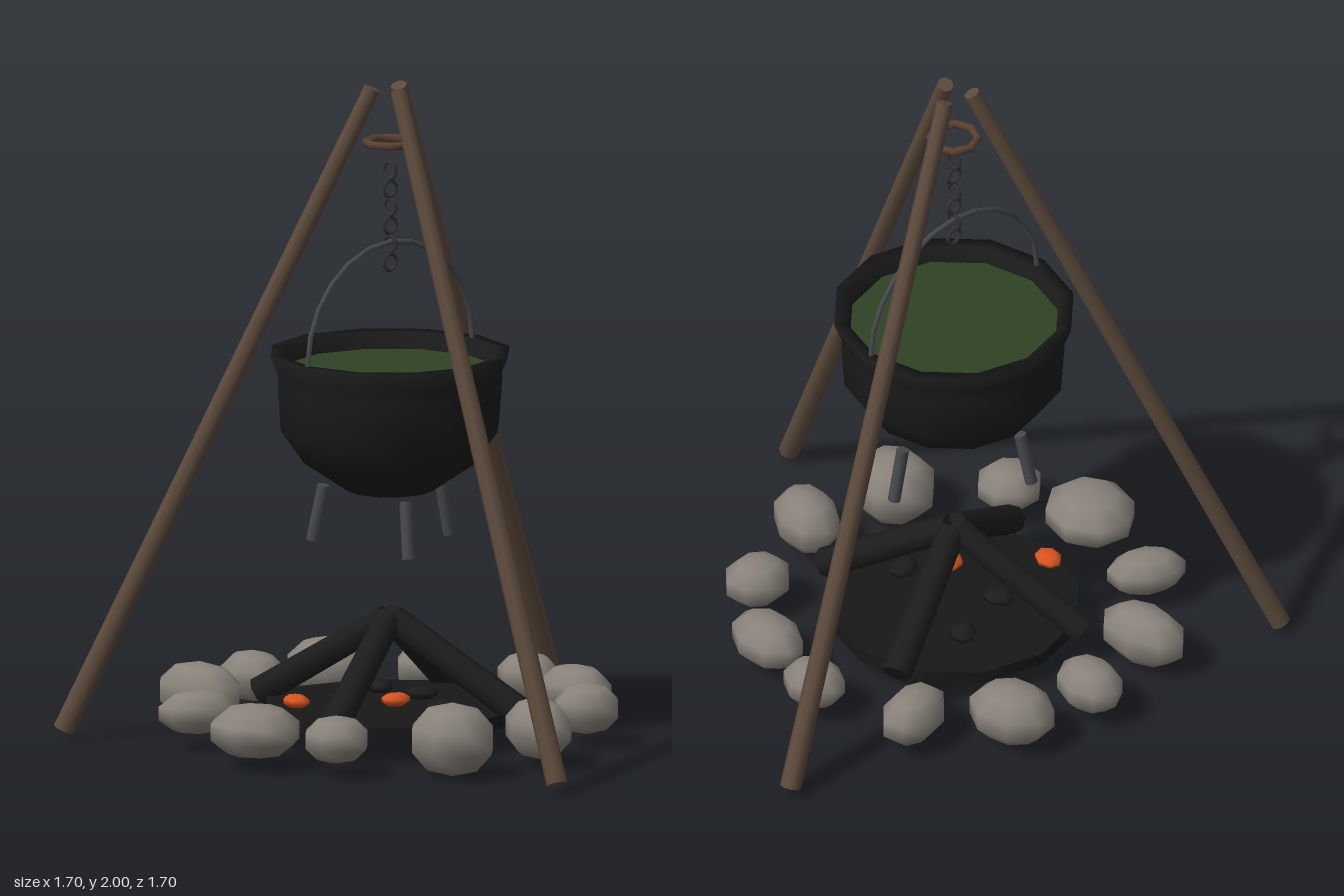
import * as THREE from 'three';

const CX = -0.11, CZ = -0.14; // axis of the fire and the pot

const mat = (name, color, extra = {}) => new THREE.MeshStandardMaterial({ name, color, ...extra });

export function createModel() {
  const wood = mat('wood', 0x5c4a3c);
  const ringWood = mat('ringBrown', 0x5a4033);
  const iron = mat('castIron', 0x1b1b1c, { side: THREE.DoubleSide });
  const steel = mat('steel', 0x48494d);
  const chainIron = mat('chainIron', 0x333334);
  const stew = mat('stew', 0x2e4323);
  const charred = mat('charredWood', 0x1c1c1c);
  const ash = mat('ash', 0x181818);
  const ember = mat('ember', 0xd9541e);
  const rock = mat('rock', 0x88827a);

  const model = new THREE.Group();
  model.name = 'campfireCauldron';

  const add = (parent, name, geometry, material, x = 0, y = 0, z = 0) => {
    const mesh = new THREE.Mesh(geometry, material);
    mesh.name = name;
    mesh.position.set(x, y, z);
    parent.add(mesh);
    return mesh;
  };
  const group = (name, x = 0, y = 0, z = 0) => {
    const g = new THREE.Group();
    g.name = name;
    g.position.set(x, y, z);
    model.add(g);
    return g;
  };
  // Cylinder from point a to point b
  const rod = (parent, name, a, b, ra, rb, sides, material) => {
    const p = new THREE.Vector3(...a), q = new THREE.Vector3(...b);
    const dir = q.clone().sub(p);
    const mesh = add(parent, name, new THREE.CylinderGeometry(rb, ra, dir.length(), sides), material);
    mesh.position.copy(p).add(q).multiplyScalar(0.5);
    mesh.quaternion.setFromUnitVectors(new THREE.Vector3(0, 1, 0), dir.normalize());
  };

  // Tripod poles: foot x, z and top x, z
  const tripod = group('tripod');
  [
    [-0.82, -0.81, -0.15, -0.175],
    [0.82, -0.43, -0.06, -0.155],
    [-0.325, 0.82, -0.122, -0.09],
  ].forEach(([x, z, tx, tz]) => rod(tripod, 'pole', [x, 0.03, z], [tx, 1.985, tz], 0.032, 0.025, 8, wood));

  // Ring that ties the poles
  add(tripod, 'tieRing', new THREE.TorusGeometry(0.072, 0.013, 6, 8).rotateX(Math.PI / 2), ringWood, CX, 1.82, CZ);

  // Chain with links turned a quarter each
  const chain = group('chain', CX, 0, CZ);
  for (let i = 0; i < 6; i++) {
    const link = add(chain, 'chainLink', new THREE.TorusGeometry(0.025, 0.006, 6, 12), chainIron, 0, 1.455 + i * 0.056, 0);
    link.rotation.y = (i % 2) * Math.PI / 2;
  }

  // Pot: outer wall, rim and inner wall in one profile
  const pot = group('cauldron', CX, 0, CZ);
  const profile = [
    [0, 0.758], [0.13, 0.763], [0.265, 0.855], [0.335, 0.955], [0.345, 1.09], [0.342, 1.12],
    [0.367, 1.183], [0.325, 1.18], [0.315, 1.1],
  ].map(([r, y]) => new THREE.Vector2(r, y));
  add(pot, 'potBody', new THREE.LatheGeometry(profile, 12, Math.PI / 2), iron);
  add(pot, 'stewSurface', new THREE.CircleGeometry(0.318, 12).rotateX(-Math.PI / 2), stew, 0, 1.13, 0);
  add(pot, 'handle', new THREE.TorusGeometry(0.337, 0.008, 6, 12, Math.PI), steel, 0, 1.18, 0);
  for (let i = 0; i < 3; i++) {
    const a = i * Math.PI * 2 / 3, c = Math.cos(a), s = Math.sin(a);
    rod(pot, 'potLeg', [0.243 * c, 0.595, 0.243 * s], [0.207 * c, 0.765, 0.207 * s], 0.019, 0.019, 8, steel);
  }

  // Fire bed with four leaning logs
  const fire = group('fire', CX, 0, CZ);
  add(fire, 'ashBed', new THREE.CylinderGeometry(0.385, 0.385, 0.04, 12), ash, 0, 0.09, 0);
  for (let i = 0; i < 4; i++) {
    const a = 1.16 + i * Math.PI / 2, c = Math.cos(a), s = Math.sin(a);
    rod(fire, 'log', [0.425 * c, 0.115, 0.425 * s], [0.01 * c, 0.37, 0.01 * s], 0.046, 0.042, 8, charred);
  }
  // Coals: x, z, material
  [
    [-0.075, 0.105, ember], [-0.31, -0.08, ember],
    [0.13, 0, charred], [0.11, -0.16, charred], [-0.09, -0.1, charred], [0.02, 0.2, charred],
  ].forEach(([x, z, m], i) => {
    const coal = add(fire, 'coal', new THREE.SphereGeometry(0.05, 7, 5), m, x, m === ember ? 0.148 : 0.125, z);
    coal.scale.set(1, 0.42, 0.8);
    coal.rotation.y = i * 1.3;
  });

  // Stone circle: x, z, half width, half height, half depth, turn
  const stones = group('stoneCircle');
  [
    [-0.405, -0.657, 0.09, 0.09, 0.145, 0.2],
    [-0.115, -0.735, 0.09, 0.075, 0.115, -0.1],
    [0.15, -0.68, 0.11, 0.09, 0.135, 0.35],
    [0.375, -0.49, 0.125, 0.08, 0.085, 0.25],
    [0.485, -0.17, 0.085, 0.07, 0.1, 0.1],
    [0.44, 0.085, 0.095, 0.075, 0.128, -0.1],
    [0.26, 0.325, 0.105, 0.075, 0.09, -0.25],
    [-0.055, 0.45, 0.095, 0.09, 0.128, -0.35],
    [-0.36, 0.4, 0.125, 0.108, 0.135, 0.1],
    [-0.615, 0.165, 0.1, 0.07, 0.1, 0],
    [-0.7, -0.1, 0.135, 0.08, 0.148, -0.3],
    [-0.625, -0.43, 0.122, 0.065, 0.08, -0.45],
  ].forEach(([x, z, w, h, d, turn], i) => {
    const geo = new THREE.SphereGeometry(1.04, 8, 5).rotateY(i * 1.7);
    const stone = add(stones, 'stone', geo, rock, x, 0.112, z);
    stone.scale.set(w, h, d);
    stone.rotation.y = turn;
  });

  return model;
}
